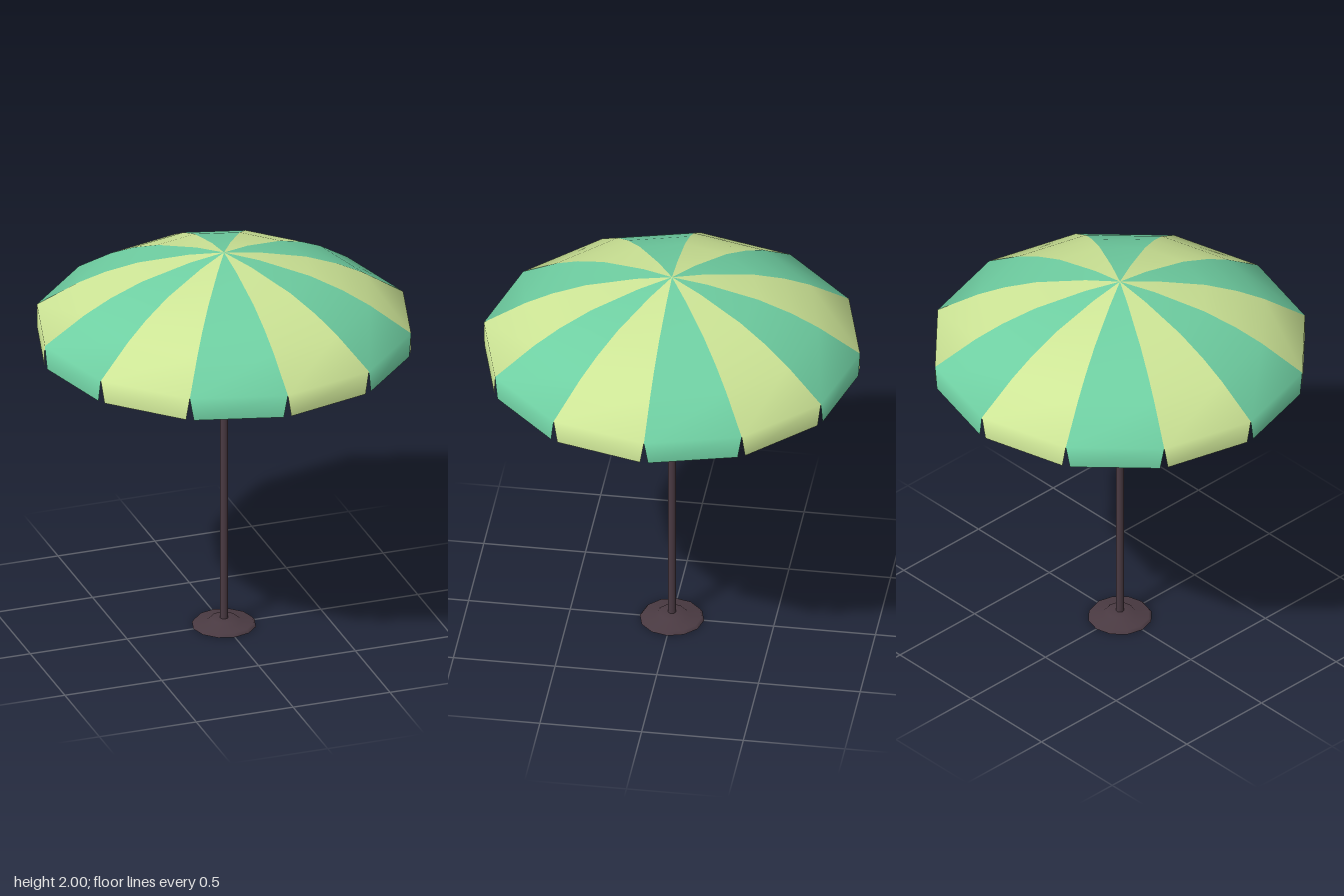
import * as THREE from 'three';

const SIDES = 12;
const metal = new THREE.MeshStandardMaterial({ color: 0x4a3a42, side: THREE.DoubleSide });
const lime = new THREE.MeshStandardMaterial({ color: 0xcde596, side: THREE.DoubleSide });
const green = new THREE.MeshStandardMaterial({ color: 0x6fcfa2, side: THREE.DoubleSide });

// Rib profile [radius, height] from apex down to the rim, then the hanging flap
const RIB = [[0, 2], [0.175, 1.973], [0.425, 1.91], [0.587, 1.846], [0.72, 1.777], [0.925, 1.643], [0.925, 1.527]];
const NOTCH = 0.02;

// One gore: flat across, curved from apex to rim, flap corners cut in for the notches
function panelGeometry(index) {
  const step = (Math.PI * 2) / SIDES;
  const a0 = index * step, a1 = a0 + step;
  const positions = [], faces = [];
  RIB.forEach(([r, y], i) => {
    const left = new THREE.Vector3(Math.sin(a0) * r, y, Math.cos(a0) * r);
    const right = new THREE.Vector3(Math.sin(a1) * r, y, Math.cos(a1) * r);
    if (i === RIB.length - 1) {
      const inset = right.clone().sub(left).setLength(NOTCH);
      left.add(inset);
      right.sub(inset);
    }
    positions.push(...left.toArray(), ...right.toArray());
    if (i === 0) return;
    const a = 2 * i - 2, b = a + 1, c = a + 2, d = a + 3;
    if (i > 1) faces.push(a, c, b);
    faces.push(b, c, d);
  });
  const geometry = new THREE.BufferGeometry();
  geometry.setAttribute('position', new THREE.Float32BufferAttribute(positions, 3));
  geometry.setIndex(faces);
  geometry.computeVertexNormals();
  return geometry;
}

export function createModel() {
  const model = new THREE.Group();
  model.name = 'parasol';

  // Canopy of alternating panels
  const canopy = new THREE.Group();
  canopy.name = 'canopy';
  for (let i = 0; i < SIDES; i++) {
    const panel = new THREE.Mesh(panelGeometry(i), i % 2 ? green : lime);
    panel.name = 'canopyPanel' + (i + 1);
    canopy.add(panel);
  }
  model.add(canopy);

  // Pole
  const pole = new THREE.Mesh(new THREE.CylinderGeometry(0.02, 0.02, 1.97, 12), metal);
  pole.name = 'pole';
  pole.position.y = 0.02 + 1.97 / 2;
  model.add(pole);

  // Stepped foot, hollow underneath
  const profile = [[0.158, 0], [0.146, 0.016], [0.085, 0.018], [0.066, 0.036], [0.018, 0.037]]
    .map(([r, y]) => new THREE.Vector2(r, y));
  const base = new THREE.Mesh(new THREE.LatheGeometry(profile, SIDES), metal);
  base.name = 'base';
  model.add(base);

  return model;
}
